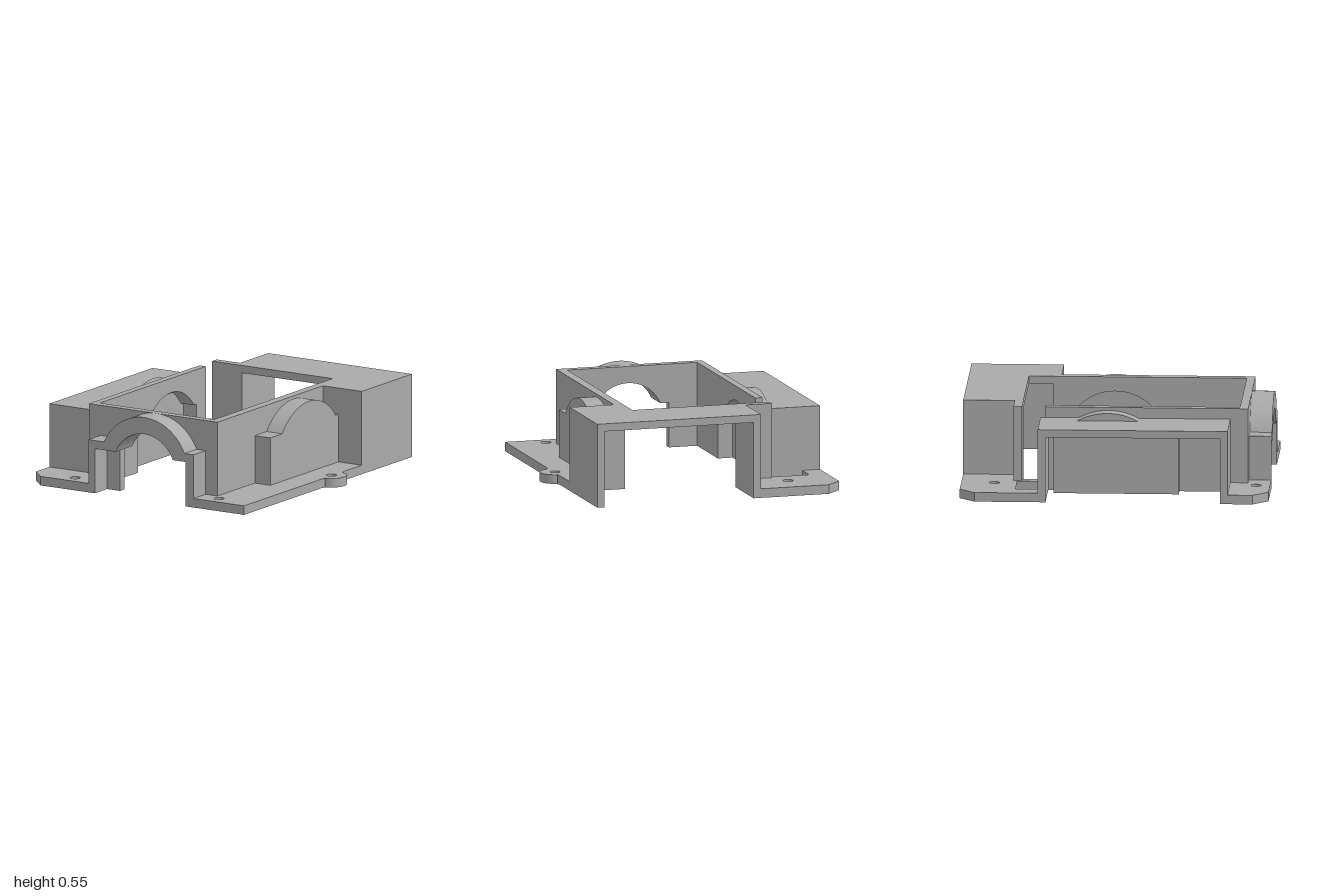
import * as THREE from 'three';
import { toCreasedNormals } from 'three/addons/utils/BufferGeometryUtils.js';

export function createModel() {
  const model = new THREE.Group();
  model.name = 'motorHousing';
  const grey = new THREE.MeshStandardMaterial({ color: 0xaaaaaa });
  grey.name = 'plainGrey';
  const H = 0.55, F = 0.06; // frame height, flange thickness

  function add(name, geometry) {
    const mesh = new THREE.Mesh(geometry, grey);
    mesh.name = name;
    model.add(mesh);
    return mesh;
  }
  // Box from min/max limits
  function box(name, x0, x1, y0, y1, z0, z1) {
    add(name, new THREE.BoxGeometry(x1 - x0, y1 - y0, z1 - z0)
      .translate((x0 + x1) / 2, (y0 + y1) / 2, (z0 + z1) / 2));
  }
  const toShape = (pts) => new THREE.Shape(pts.map(([x, y]) => new THREE.Vector2(x, y)));
  function extrude(shape, depth) {
    const g = new THREE.ExtrudeGeometry(shape, { depth, bevelEnabled: false, curveSegments: 24 });
    return toCreasedNormals(g, 0.5);
  }
  // Plate facing front, from z0 to z1
  const frontPlate = (name, pts, z0, z1) =>
    add(name, extrude(toShape(pts), z1 - z0).translate(0, 0, z0));
  // Plate facing sideways, points are (-z, y), from x0 to x1
  const sidePlate = (name, pts, x0, x1) =>
    add(name, extrude(toShape(pts), x1 - x0).rotateY(Math.PI / 2).translate(x0, 0, 0));
  // Flat plate, points are (x, z), with round and square holes
  function floorPlate(name, pts, holes = [], slots = []) {
    const shape = toShape(pts.map(([x, z]) => [x, -z]));
    for (const [x, z] of holes) {
      shape.holes.push(new THREE.Path().absarc(x, -z, 0.033, 0, Math.PI * 2, true));
    }
    for (const [x0, x1, z0, z1] of slots) {
      shape.holes.push(new THREE.Path([[x0, -z0], [x1, -z0], [x1, -z1], [x0, -z1]]
        .map(([x, y]) => new THREE.Vector2(x, y))));
    }
    add(name, extrude(shape, F).rotateX(-Math.PI / 2));
  }
  // Outline of a shouldered arch, left foot to right foot
  function arch(left, right, base, shoulder, cx, cy, r) {
    const a = Math.asin((shoulder - cy) / r);
    const pts = [[left, base], [left, shoulder]];
    for (let i = 0; i <= 40; i++) {
      const t = Math.PI - a - (Math.PI - 2 * a) * i / 40;
      pts.push([cx + r * Math.cos(t), cy + r * Math.sin(t)]);
    }
    pts.push([right, shoulder], [right, base]);
    return pts;
  }
  const shell = (outer, inner) => [...outer, ...inner.slice().reverse()];
  const archedWall = (u0, u1, inner) => [[u0, 0], ...inner, [u1, 0], [u1, H], [u0, H]];

  // Front wall and arched shaft support
  const frontInner = arch(-0.36, 0.34, 0, 0.295, 0.02, 0.2, 0.24);
  const wallInner = arch(-0.26, 0.34, 0, 0.295, 0.02, 0.2, 0.24);
  frontPlate('frontWall', archedWall(-0.5, 0.49, wallInner), 0.8, 0.855);
  frontPlate('frontArch', shell(arch(-0.41, 0.4, 0, 0.35, 0.02, 0.21, 0.34), frontInner), 0.855, 1);

  // Side walls with domed bearing pockets
  const domeOuter = arch(-0.41, 0.4, 0, 0.375, 0.05, 0.125, 0.405);
  const domeInner = arch(-0.35, 0.35, 0, 0.32, 0.05, 0.125, 0.33);
  sidePlate('rightWall', archedWall(-0.8, 0.45, domeInner), 0.43, 0.49);
  sidePlate('leftWall', archedWall(-0.8, 0.46, domeInner), -0.5, -0.45);
  sidePlate('rightBearingShell', shell(domeOuter, domeInner), 0.49, 0.56);
  sidePlate('rightBearingCap', domeOuter, 0.56, 0.61);
  sidePlate('leftBearingShell', shell(domeOuter, domeInner), -0.55, -0.5);
  sidePlate('leftBearingCap', domeOuter, -0.595, -0.55);

  // Rear cover: L-shaped roof on thin walls, open at the back
  const roof = toShape([[-0.32, 1], [-0.32, 0.665], [-0.5, 0.665], [-0.5, 0.61],
    [0.43, 0.61], [0.43, 0.4], [0.79, 0.4], [0.79, 1]]);
  add('rearRoof', extrude(roof, 0.05).rotateX(-Math.PI / 2).translate(0, H - 0.05, 0));
  box('rearRightWall', 0.74, 0.79, 0, H, -1, -0.4);
  box('rearStepWall', 0.43, 0.79, 0, H, -0.45, -0.4);
  box('rearLeftWall', -0.32, -0.27, 0, H, -1, -0.61);
  box('rearReturnWall', -0.5, -0.27, 0, H, -0.665, -0.61);

  // Raised left cover, open on its outer side
  box('leftCoverRoof', -0.88, -0.5, 0.43, 0.48, -0.49, 0.74);
  box('leftCoverRearWall', -0.88, -0.5, 0, 0.48, -0.49, -0.44);
  box('leftCoverFrontWall', -0.88, -0.5, 0, 0.48, 0.69, 0.74);

  // Mounting flanges; the right one has a rounded screw tab
  const tab = [];
  for (let i = 0; i <= 24; i++) {
    const t = Math.PI * (0.5 - i / 24);
    tab.push([0.79 + 0.09 * Math.cos(t), -0.055 + 0.1 * Math.sin(t)]);
  }
  floorPlate('rightFlange', [[0.43, -0.4], [0.43, 0.8], [0.34, 0.8], [0.34, 1], [0.79, 1],
    [0.79, 0.075], [0.8, 0.055], ...tab, [0.8, -0.165], [0.79, -0.185], [0.79, -0.4]],
    [[0.54, 0.91], [0.78, -0.055]]);
  floorPlate('frontLeftFlange', [[-0.88, 0.69], [-0.88, 0.9], [-0.78, 1], [-0.36, 1],
    [-0.36, 0.8], [-0.45, 0.8], [-0.45, 0.69]], [[-0.57, 0.91]]);
  floorPlate('rearLeftFlange', [[-0.78, -1], [-0.88, -0.9], [-0.88, -0.46], [-0.45, -0.46],
    [-0.45, -0.61], [-0.29, -0.61], [-0.29, -1]], [[-0.57, -0.785]], [[-0.76, -0.52, -0.64, -0.49]]);

  return model;
}
